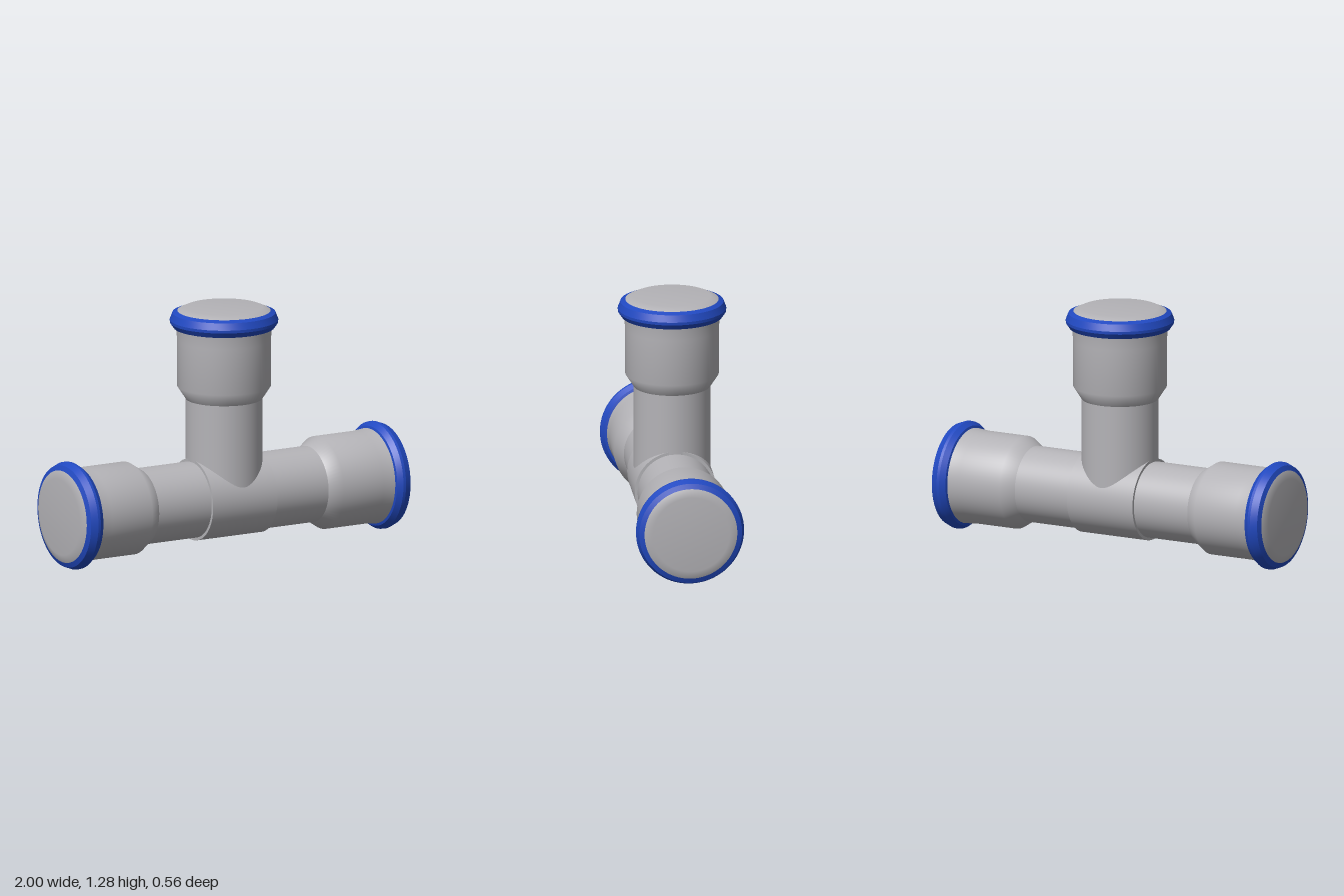
import * as THREE from 'three';
import { toCreasedNormals } from 'three/addons/utils/BufferGeometryUtils.js';

const SEG = 72;
const AXIS = 0.284; // height of the run's centre line

export function createModel() {
  const steel = new THREE.MeshStandardMaterial({ color: 0xb4b3b7 });
  steel.name = 'grey steel';
  const blue = new THREE.MeshStandardMaterial({ color: 0x2149c1 });
  blue.name = 'blue seal';

  const add = (parent, name, geometry, material) => {
    const mesh = new THREE.Mesh(geometry, material);
    mesh.name = name;
    parent.add(mesh);
    return mesh;
  };
  const lathe = (profile) =>
    new THREE.LatheGeometry(profile.map(([r, y]) => new THREE.Vector2(r, y)), SEG);

  // One arm along +y from the crossing point, ending at the given length
  const makeArm = (name, length) => {
    const arm = new THREE.Group();
    arm.name = name;
    const pipeTop = length - 0.483;
    const pipe = new THREE.CylinderGeometry(0.199, 0.199, pipeTop, SEG, 1, true);
    pipe.translate(0, pipeTop / 2, 0);
    add(arm, 'pipe', pipe, steel);
    // Widened socket, flaring slightly under the seal
    add(arm, 'socket', lathe([
      [0.199, length - 0.485], [0.243, length - 0.418],
      [0.243, length - 0.175], [0.25, length - 0.105],
    ]), steel);
    // Bevelled seal ring
    add(arm, 'sealRing', toCreasedNormals(lathe([
      [0.245, length - 0.112], [0.262, length - 0.107], [0.281, length - 0.08],
      [0.282, length - 0.065], [0.268, length - 0.029], [0.242, length - 0.018],
    ]), 0.3), blue);
    // Closed end
    add(arm, 'endCap', lathe([
      [0.242, length - 0.018], [0.2, length], [0, length],
    ]), steel);
    return arm;
  };

  const model = new THREE.Group();
  model.name = 'teeFitting';

  // Run to both sides and the upright branch
  for (const side of [1, -1]) {
    const arm = makeArm(side > 0 ? 'leftArm' : 'rightArm', 1);
    arm.rotation.z = -side * Math.PI / 2;
    arm.position.y = AXIS;
    model.add(arm);
  }
  const branch = makeArm('branch', 1.286 - AXIS);
  branch.position.y = AXIS;
  model.add(branch);

  // Thicker sleeve around the crossing
  const sleeve = add(model, 'centreSleeve',
    new THREE.CylinderGeometry(0.214, 0.214, 0.392, SEG), steel);
  sleeve.rotation.z = Math.PI / 2;
  sleeve.position.y = AXIS;

  return model;
}
